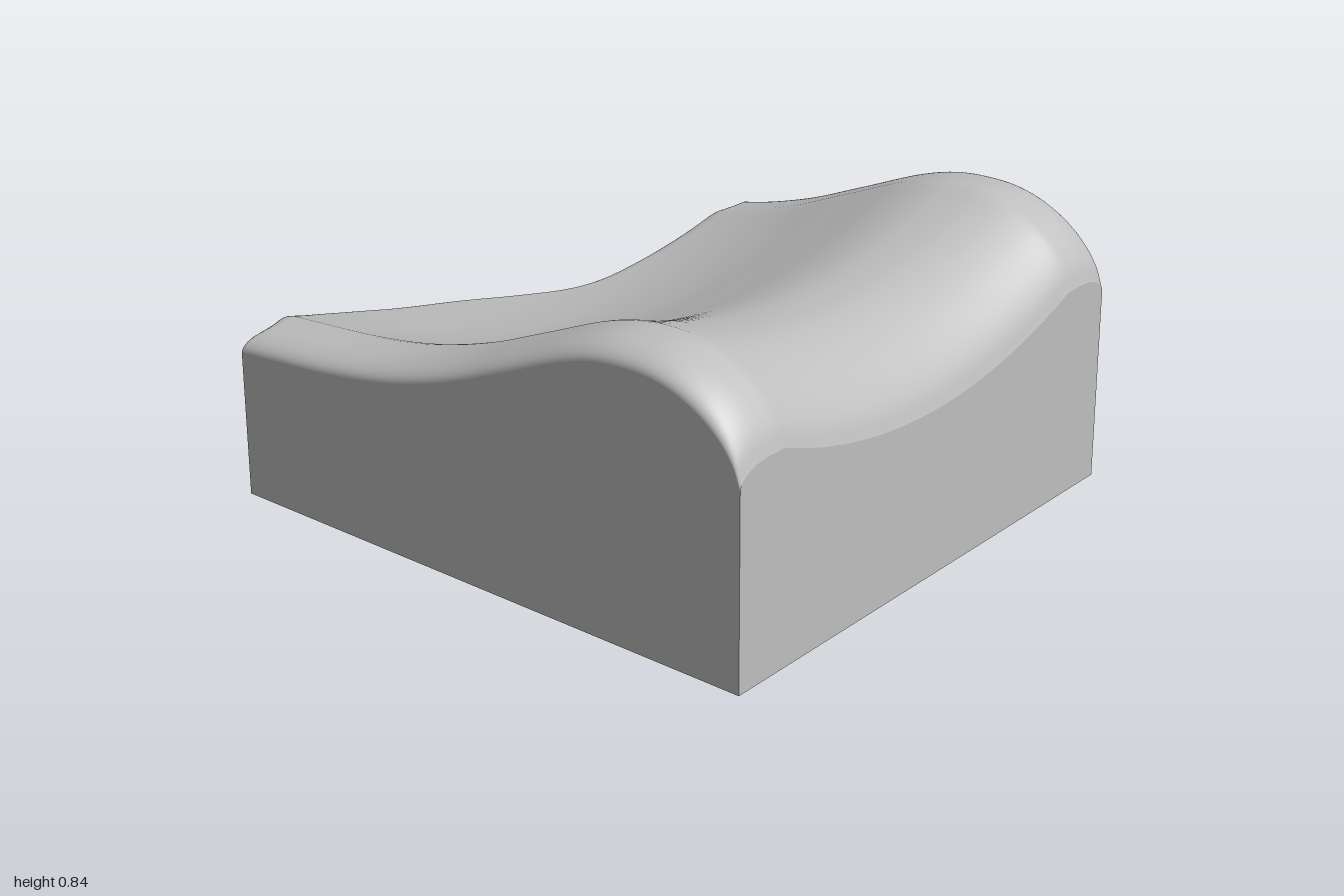
import * as THREE from 'three';
import { toCreasedNormals } from 'three/addons/utils/BufferGeometryUtils.js';

const ANGLE = 0.2548; // yaw of the block
const CORNER = [-0.555, 0.95]; // front right-hand corner in x, z
const WIDTH = 1.605;
const clamp = THREE.MathUtils.clamp;

// y as a smooth function of x through a few points
function curveThrough(points) {
  const pts = new THREE.CatmullRomCurve3(
    points.map(([x, y]) => new THREE.Vector3(x, y, 0)), false, 'centripetal').getPoints(400);
  return (x) => {
    let i = 1;
    while (i < pts.length - 1 && pts[i].x < x) i++;
    const a = pts[i - 1], b = pts[i];
    return a.y + (b.y - a.y) * clamp((x - a.x) / (b.x - a.x), 0, 1);
  };
}

// Wavy rear outline: depth v for each width position u
const rear = curveThrough([
  [-1, -0.752], [-0.89, -0.807], [-0.77, -0.893], [-0.674, -0.942], [-0.556, -0.96],
  [-0.45, -0.945], [-0.262, -0.898], [-0.1, -0.8], [0.02, -0.716], [0.112, -0.68],
  [0.22, -0.668], [0.54, -0.652], [0.61, -0.66], [0.677, -0.68],
].map(([x, z]) => {
  const dx = x - CORNER[0], dz = z - CORNER[1], c = Math.cos(ANGLE), s = Math.sin(ANGLE);
  return [dx * c - dz * s, -dx * s - dz * c];
}));

// Height of the side ridges from front to rear
const ridge = curveThrough([
  [0, 0.62], [0.02, 0.675], [0.06, 0.73], [0.12, 0.78], [0.2, 0.82], [0.27, 0.838],
  [0.336, 0.843], [0.45, 0.835], [0.56, 0.805], [0.77, 0.715], [0.97, 0.63],
  [1.18, 0.565], [1.4, 0.525], [1.76, 0.49], [1.95, 0.47],
]);

// Quarter-round drop near an edge
const roundOff = (distance, radius, drop) => {
  const k = clamp(1 - distance / radius, 0, 1);
  return drop * (1 - Math.sqrt(1 - k * k));
};

function height(u, v) {
  const k = (u - WIDTH / 2) / 0.63;
  const dish = 0.13 * Math.max(0, 1 - k * k);
  const side = roundOff(Math.min(u, WIDTH - u), 0.11, 0.055);
  const back = roundOff(rear(u) - v, 0.07, 0.06);
  return ridge(v) - dish - Math.max(side, back);
}

// Grid surface from a rule giving [x, y, z] for s, t in 0..1
function surface(rule, ns, nt) {
  const pos = [], index = [];
  for (let j = 0; j <= nt; j++) {
    for (let i = 0; i <= ns; i++) pos.push(...rule(i / ns, j / nt));
  }
  for (let j = 0; j < nt; j++) {
    for (let i = 0; i < ns; i++) {
      const a = j * (ns + 1) + i, d = a + ns + 1;
      index.push(a, a + 1, d + 1, a, d + 1, d);
    }
  }
  const g = new THREE.BufferGeometry();
  g.setAttribute('position', new THREE.Float32BufferAttribute(pos, 3));
  g.setIndex(index);
  g.computeVertexNormals();
  return g;
}

export function createModel() {
  const model = new THREE.Group();
  const grey = new THREE.MeshStandardMaterial({ color: 0xbfbfbf });
  grey.name = 'plain grey';
  const add = (name, geometry) => {
    const mesh = new THREE.Mesh(geometry, grey);
    mesh.name = name;
    model.add(mesh);
    return mesh;
  };

  // Finer steps near the edges
  const ease = (t) => (1 - Math.cos(Math.PI * t)) / 2;
  const N = 96;

  // Dished, rounded top
  add('top', surface((s, t) => {
    const u = ease(s) * WIDTH, v = ease(t) * rear(u);
    return [u, height(u, v), -v];
  }, N, N));

  // Vertical walls following the rim of the top
  const wall = (name, path) => add(name, surface((s, t) => {
    const [u, v] = path(ease(s));
    return [u, t * height(u, v), -v];
  }, N, 1));
  wall('frontWall', (s) => [s * WIDTH, 0]);
  wall('leftWall', (s) => [WIDTH, s * rear(WIDTH)]);
  wall('backWall', (s) => [(1 - s) * WIDTH, rear((1 - s) * WIDTH)]);
  wall('rightWall', (s) => [0, (1 - s) * rear(0)]);

  // Underside with four round foot recesses
  const outline = [new THREE.Vector2(0, 0)];
  for (let i = 0; i <= N; i++) {
    const u = ease(i / N) * WIDTH;
    outline.push(new THREE.Vector2(u, -rear(u)));
  }
  outline.push(new THREE.Vector2(WIDTH, 0));
  const base = new THREE.Shape(outline);
  const inset = 0.11, radius = 0.08, depth = 0.02;
  const recess = toCreasedNormals(new THREE.LatheGeometry(
    [[0, depth], [radius, depth], [radius, 0]].map(([x, y]) => new THREE.Vector2(x, y)), 32), 0.6);
  for (const [u, end] of [[inset, rear(0)], [WIDTH - inset, rear(WIDTH)]]) {
    for (const v of [inset, end - inset]) {
      base.holes.push(new THREE.Path().absarc(u, -v, radius, 0, Math.PI * 2, true));
      add('footRecess', recess).position.set(u, 0, -v);
    }
  }
  add('underside', new THREE.ShapeGeometry(base, 16).rotateX(Math.PI / 2));

  model.rotation.y = ANGLE;
  model.position.set(CORNER[0], 0, CORNER[1]);
  const group = new THREE.Group();
  group.name = 'contouredRest';
  group.add(model);
  return group;
}
